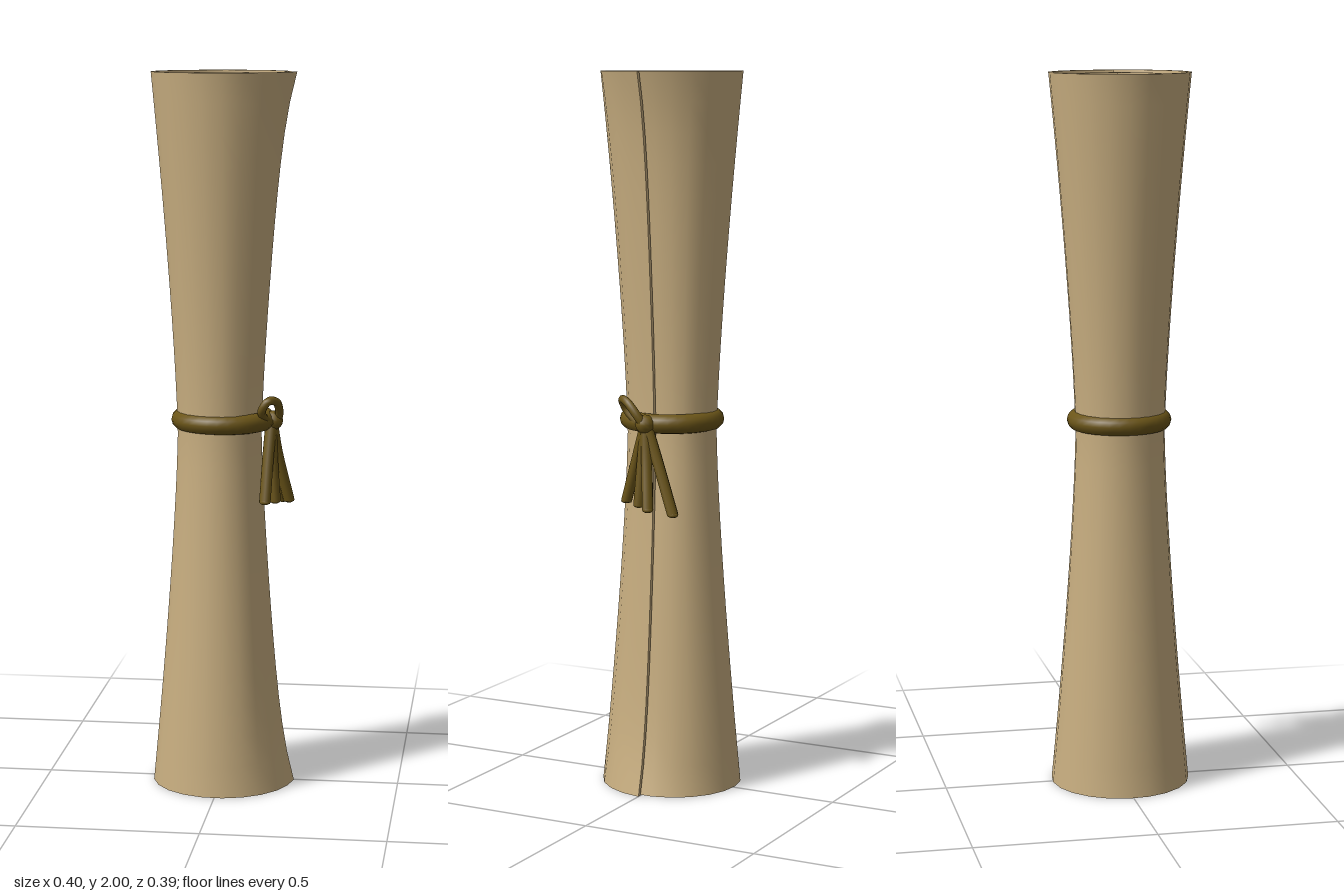
import * as THREE from 'three';
import { mergeGeometries } from 'three/addons/utils/BufferGeometryUtils.js';

// Smooth grid surface from a point function of (u, v)
function grid(fn, nu, nv, flip) {
  const pos = [], index = [];
  for (let i = 0; i <= nu; i++)
    for (let j = 0; j <= nv; j++) pos.push(...fn(i / nu, j / nv));
  for (let i = 0; i < nu; i++)
    for (let j = 0; j < nv; j++) {
      const a = i * (nv + 1) + j, b = a + nv + 1;
      if (flip) index.push(a, b + 1, b, a, a + 1, b + 1);
      else index.push(a, b, b + 1, a, b + 1, a + 1);
    }
  const g = new THREE.BufferGeometry();
  g.setAttribute('position', new THREE.Float32BufferAttribute(pos, 3));
  g.setIndex(index);
  g.computeVertexNormals();
  return g;
}

// Thick curled sheet; point(s, t, k): s around, t up, k = 0 inside, 1 outside
function curledSheet(point, n) {
  const rows = 24;
  return mergeGeometries([
    grid((u, v) => point(u, v, 1), n, rows, true),
    grid((u, v) => point(u, v, 0), n, rows, false),
    grid((u, v) => point(u, 1, v), n, 1, false),
    grid((u, v) => point(u, 0, v), n, 1, true),
    grid((u, v) => point(0, v, u), 1, rows, true),
    grid((u, v) => point(1, v, u), 1, rows, false),
  ]);
}

// Waisted roll: narrow in the middle, flared at both ends
const flare = (t) => Math.pow(Math.abs(2 * t - 1), 1.35);

function outerPoint(s, t, k) {
  const angle = s * (Math.PI * 2 + 0.12);
  const d = Math.abs(2 * t - 1);
  // the sheet lies flatter beside the seam, and its free edge curls out at the ends
  const dent = 0.024 * (1 - Math.pow(d, 8)) * Math.pow(Math.max(0, Math.cos(angle)), 3);
  const lift = 0.006 * Math.pow(Math.max(0, 1 - s * 8), 2);
  const r = 0.127 + 0.071 * flare(t) - dent + lift - 0.012 * Math.pow(s, 4) - 0.012 * (1 - k);
  return [r * Math.cos(angle), 2 * t, r * Math.sin(angle)];
}

function innerPoint(s, t, k) {
  const angle = s * (Math.PI * 2 + 0.2);
  const r = 0.076 + 0.05 * flare(t) - 0.006 * s - 0.01 * (1 - k);
  return [r * Math.cos(angle) - 0.004, 0.005 + 1.99 * t, r * Math.sin(angle) - 0.004];
}

export function createModel() {
  const model = new THREE.Group();
  const parchment = new THREE.MeshStandardMaterial({ color: 0xc8ae80, side: THREE.DoubleSide });
  parchment.name = 'parchment';
  const cord = new THREE.MeshStandardMaterial({ color: 0x6b5518 });
  cord.name = 'cord brown';

  const add = (name, geometry, material, parent = model) => {
    const mesh = new THREE.Mesh(geometry, material);
    mesh.name = name;
    parent.add(mesh);
    return mesh;
  };

  // Rolled sheet: outer wrap and inner roll
  add('outerSheet', curledSheet(outerPoint, 22), parchment);
  add('innerRoll', curledSheet(innerPoint, 22), parchment);

  // Cord around the waist
  const tie = new THREE.Group();
  tie.name = 'cordTie';
  model.add(tie);
  const band = add('cordBand', new THREE.TorusGeometry(0.119, 0.027, 12, 32), cord, tie);
  band.rotation.x = Math.PI / 2;
  band.position.set(0.002, 1.04, 0);

  // Knot
  const knot = add('knot', new THREE.SphereGeometry(0.027, 12, 8), cord, tie);
  knot.position.set(0.143, 1.04, 0.01);

  const vec = (p) => new THREE.Vector3(...p);

  // Bow loop rising to one side of the knot
  const loop = new THREE.CatmullRomCurve3([
    [0.15, 1.035, 0.01], [0.161, 1.065, 0.025], [0.155, 1.1, 0.06],
    [0.135, 1.103, 0.085], [0.118, 1.075, 0.083], [0.128, 1.045, 0.045],
  ].map(vec), true);
  add('bowLoop', new THREE.TubeGeometry(loop, 28, 0.012, 8, true), cord, tie);

  // Loose cord ends fanning out below the knot
  const ends = [[0.127, 0.82, 0.077], [0.15, 0.815, 0.026], [0.184, 0.81, -0.02], [0.16, 0.798, -0.085]];
  ends.forEach(([x, y, z], i) => {
    const path = new THREE.CatmullRomCurve3([
      vec([0.138, 1.045, 0.01]),
      vec([0.135 + (x - 0.135) * 0.35, 0.95, 0.008 + z * 0.4]),
      vec([x, y, z]),
    ]);
    add('cordEnd' + (i + 1), new THREE.TubeGeometry(path, 10, 0.016, 8, false), cord, tie);
    const tip = add('cordTip' + (i + 1), new THREE.SphereGeometry(0.016, 8, 6), cord, tie);
    tip.position.set(x, y, z);
    tip.scale.y = 0.5;
  });

  return model;
}
